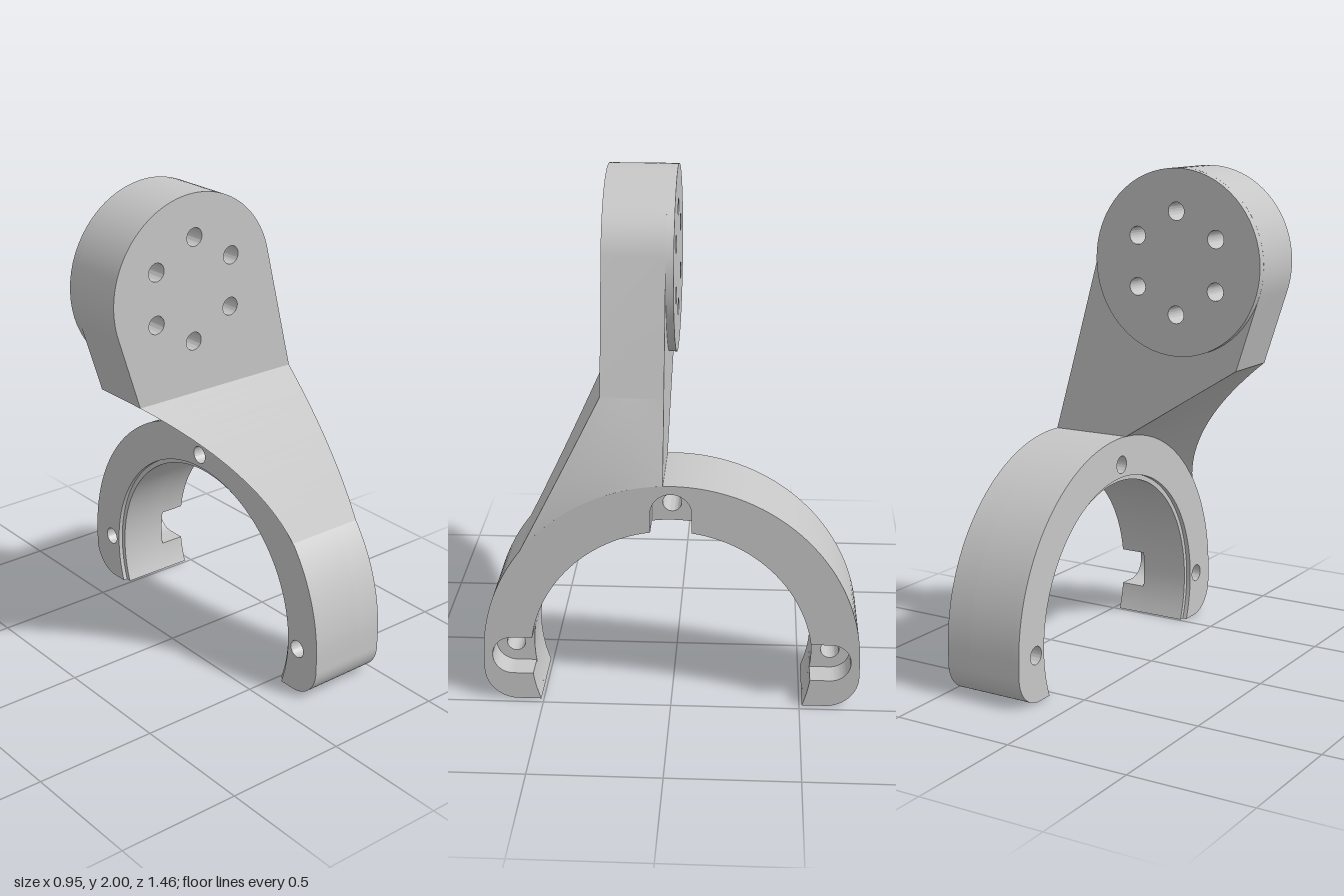
import * as THREE from 'three';
import { toCreasedNormals } from 'three/addons/utils/BufferGeometryUtils.js';

const PI = Math.PI;
const lerp = THREE.MathUtils.lerp;
const HEAD = { x: -0.11, y: 1.636, r: 0.364 };   // round mounting head
const RING = { y: 0.19, outer: 0.73, bore: 0.545, bolt: 0.618, x0: 0.14, x1: 0.473 };
const BACK = 0.03, FRONT = 0.27, WAIST = 1.23;   // plate z range and lower edge
const WAIST_L = -0.36, WAIST_R = 0.383, WAIST_R_FRONT = 0.369;

const circlePath = (x, y, r) => new THREE.Path().absarc(x, y, r, 0, 2 * PI, true);

function extrude(shape, depth) {
  return new THREE.ExtrudeGeometry(shape, { depth, bevelEnabled: false, curveSegments: 32 });
}

// Six bolt holes through the head
function addHeadHoles(shape) {
  for (let i = 0; i < 6; i++) {
    const a = PI / 6 + i * PI / 3;
    shape.holes.push(circlePath(HEAD.x + 0.2 * Math.cos(a), HEAD.y + 0.2 * Math.sin(a), 0.035));
  }
  return shape;
}

// Head plate: round top with tangent sides, front right corner drawn in slightly
function plateGeometry() {
  const s = new THREE.Shape();
  s.moveTo(WAIST_L, WAIST);
  s.lineTo(WAIST_R, WAIST);
  s.absarc(HEAD.x, HEAD.y, HEAD.r, 0.279, 3.463, false);
  s.closePath();
  const g = extrude(addHeadHoles(s), FRONT - BACK).translate(0, 0, BACK);
  const p = g.attributes.position;
  for (let i = 0; i < p.count; i++) {
    if (p.getX(i) > 0.3 && p.getY(i) < WAIST + 0.01 && p.getZ(i) > 0.2) p.setX(i, WAIST_R_FRONT);
  }
  return g;
}

// Half-ring outline with rounded feet; slots open into the bore
function ringShape(bore, slotted) {
  const { y, outer, bolt } = RING, w = 0.078, f = 0.13;
  const s = new THREE.Shape();
  s.moveTo(outer - f, 0);
  s.absarc(outer - f, f, f, -PI / 2, 0, false);
  s.absarc(0, y, outer, 0, PI, false);
  s.absarc(f - outer, f, f, PI, 1.5 * PI, false);
  const foot = Math.asin(y / bore), gap = Math.asin(w / bore);
  let from = PI + foot;
  for (const a of [PI, PI / 2, 0]) {
    const cx = bolt * Math.cos(a), cy = y + bolt * Math.sin(a);
    if (slotted) {
      s.absarc(0, y, bore, from, a + gap, true);
      s.absarc(cx, cy, w, a + PI / 2, a - PI / 2, true);
      from = a - gap;
    } else {
      s.holes.push(circlePath(cx, cy, 0.036));
    }
  }
  s.absarc(0, y, bore, from, -foot, true);
  s.closePath();
  return s;
}

// Neck: sections that bend from the flat waist to the ring's outer arc
function neckGeometry() {
  const N = 20, M = 10, P = 2 * (M + 1), pos = [], index = [];
  const v2 = (x, y) => new THREE.Vector2(x, y);
  const r = RING.outer - 0.001, endY = 0.633, endBackY = 0.918;
  const left = new THREE.QuadraticBezierCurve(v2(WAIST_L, WAIST), v2(0.07, 0.915), v2(RING.x0, endY));
  const right = new THREE.QuadraticBezierCurve(v2(WAIST_R_FRONT, WAIST), v2(RING.x1, 0.9), v2(RING.x1, endY));
  const frontZ = y => FRONT + (WAIST - y) * 0.517;
  const endZ = frontZ(endY);

  // One side of a section, from front to back, bulging with t to meet the arc
  const side = (t, front, backX) => Array.from({ length: M + 1 }, (_, k) => {
    const s = k / M;
    const arcY = RING.y + Math.sqrt(r * r - lerp(endZ, BACK, s) ** 2);
    const bulge = k % M === 0 ? 0 : t * (arcY - lerp(endY, endBackY, s));
    return [
      lerp(front.x, backX, s),
      lerp(front.y, lerp(WAIST, endBackY, t), s) + bulge,
      lerp(frontZ(front.y), BACK, s),
    ];
  });

  for (let i = 0; i <= N; i++) {
    const t = i / N;
    const rightSide = side(t, right.getPoint(t), lerp(WAIST_R, RING.x1, t));
    const leftSide = side(t, left.getPoint(t), lerp(WAIST_L, RING.x0, t));
    for (const p of [...rightSide, ...leftSide.reverse()]) pos.push(...p);
    if (i === N) break;
    for (let k = 0; k < P; k++) {
      const a = i * P + k, b = i * P + (k + 1) % P;
      index.push(a + P, b + P, b, a + P, b, a);
    }
  }
  const g = new THREE.BufferGeometry();
  g.setAttribute('position', new THREE.Float32BufferAttribute(pos, 3));
  g.setIndex(index);
  return g;
}

export function createModel() {
  const model = new THREE.Group();
  model.name = 'clampBracket';
  const grey = new THREE.MeshStandardMaterial({ color: 0xc6c6c6 });
  grey.name = 'light grey metal';
  const add = (name, geometry, parent = model) => {
    const m = new THREE.Mesh(toCreasedNormals(geometry, 0.5), grey);
    m.name = name;
    parent.add(m);
    return m;
  };

  add('headPlate', plateGeometry());

  // Raised round pad on the back of the head
  const pad = new THREE.Shape().absarc(HEAD.x, HEAD.y, HEAD.r, 0, 2 * PI, false);
  add('backPad', extrude(addHeadHoles(pad), BACK));

  add('neck', neckGeometry());

  // Half ring in three layers: recessed lip, drilled web, slotted side
  const ring = new THREE.Group();
  ring.name = 'halfRing';
  model.add(ring);
  const layers = [
    ['recessedLip', RING.x0, 0.158, ringShape(0.565, false)],
    ['drilledWeb', 0.158, 0.365, ringShape(RING.bore, false)],
    ['slottedSide', 0.365, RING.x1, ringShape(RING.bore, true)],
  ];
  for (const [name, x0, x1, shape] of layers) {
    const m = add(name, extrude(shape, x1 - x0), ring);
    m.rotation.y = PI / 2;
    m.position.x = x0;
  }
  return model;
}
